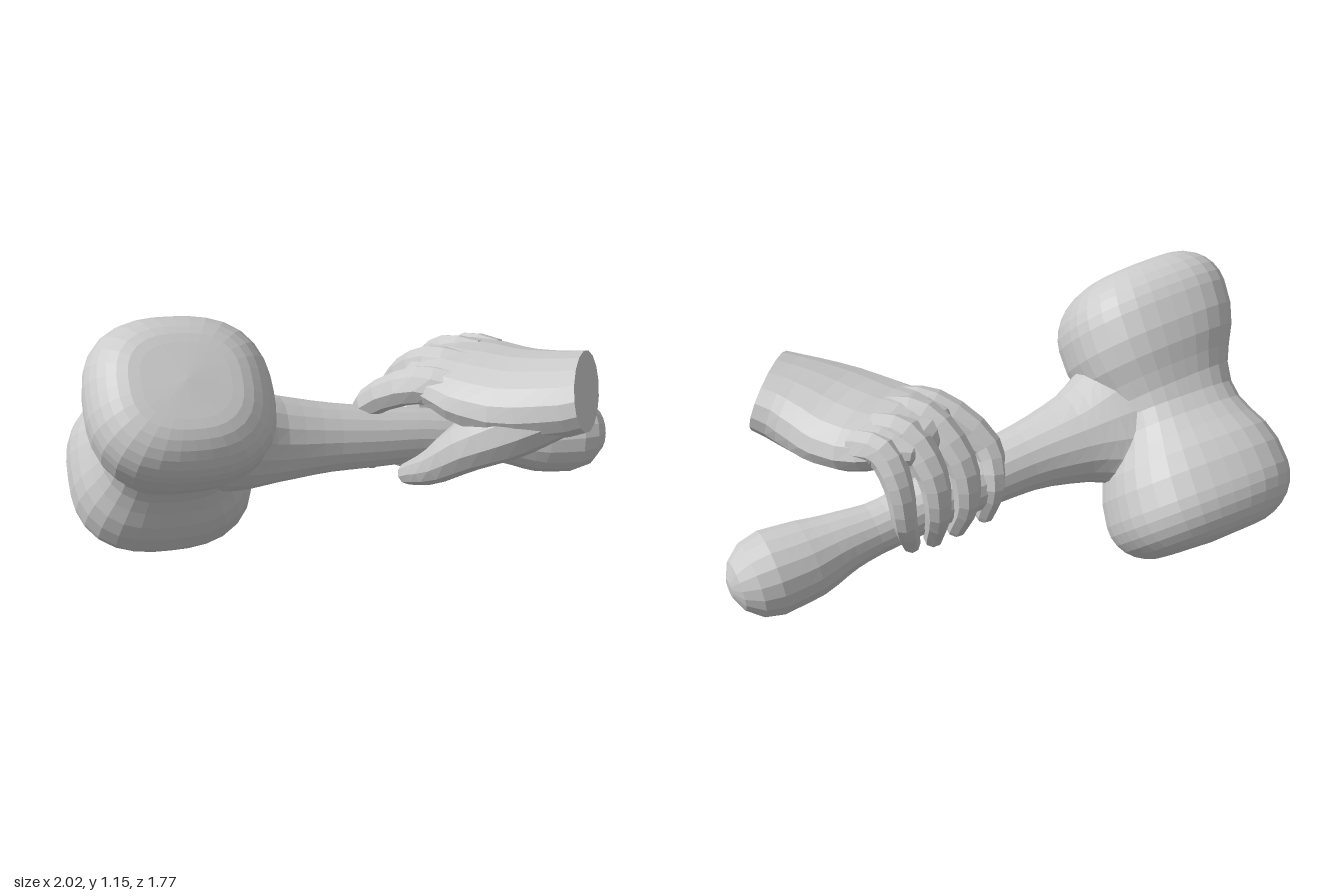
import * as THREE from 'three';

const material = new THREE.MeshStandardMaterial({ color: 0xcccccc, flatShading: true });
const V = (x, y, z) => new THREE.Vector3(x, y, z);
const headAxis = V(0.41, 0.763, 0.503).normalize();

// Lofts elliptical rings along a smooth path. Each station: [x, y, z, radiusSide, radiusUp].
// ref steers the ring orientation; round adds a domed far end.
function loft(name, stations, { sides = 10, steps = 10, ref = V(0, 1, 0), round = true } = {}) {
  const path = new THREE.CatmullRomCurve3(stations.map((s) => V(s[0], s[1], s[2])));
  const size = new THREE.CatmullRomCurve3(stations.map((s) => V(s[3], s[4] ?? s[3], 0)));
  const rings = [];
  for (let i = 0; i <= steps; i++) {
    const r = size.getPoint(i / steps);
    rings.push({ c: path.getPoint(i / steps), t: path.getTangent(i / steps), a: r.x, b: r.y });
  }
  if (round) {
    const e = rings[steps];
    for (const k of [0.3, 0.6, 0.85]) {
      const f = Math.cos(k * Math.PI / 2);
      const c = e.c.clone().addScaledVector(e.t, Math.min(e.a, e.b) * Math.sin(k * Math.PI / 2));
      rings.push({ c, t: e.t, a: e.a * f, b: e.b * f });
    }
  }
  const pos = [], index = [];
  for (const { c, t, a, b } of rings) {
    const side = V().crossVectors(ref, t).normalize();
    const up = V().crossVectors(t, side);
    for (let j = 0; j < sides; j++) {
      const q = (j / sides) * Math.PI * 2;
      const p = c.clone().addScaledVector(side, Math.cos(q) * a).addScaledVector(up, Math.sin(q) * b);
      pos.push(p.x, p.y, p.z);
    }
  }
  const last = rings.length - 1, start = rings.length * sides, end = start + 1;
  const tip = rings[last].c.clone();
  if (round) tip.addScaledVector(rings[last].t, rings[last].a * 0.1);
  pos.push(...rings[0].c.toArray(), ...tip.toArray());
  for (let j = 0; j < sides; j++) {
    const n = (j + 1) % sides;
    for (let i = 0; i < last; i++) {
      const o = i * sides, p = o + sides;
      index.push(o + j, o + n, p + j, o + n, p + n, p + j);
    }
    index.push(start, n, j, end, last * sides + j, last * sides + n);
  }
  const geo = new THREE.BufferGeometry();
  geo.setAttribute('position', new THREE.Float32BufferAttribute(pos, 3));
  geo.setIndex(index);
  geo.computeVertexNormals();
  const mesh = new THREE.Mesh(geo, material);
  mesh.name = name;
  return mesh;
}

// Two swollen, rounded-square ends joined by a narrow waist
function malletHead() {
  const R = 0.36, q = 0.19, L = 0.565, half = [];
  for (const r of [0, 0.06, 0.12]) half.push([r, L + 0.01 - r * 0.06]);
  for (let i = 0; i <= 7; i++) {
    const a = (i / 7) * Math.PI / 2;
    half.push([R - q + q * Math.sin(a), L - q + q * Math.cos(a)]);
  }
  half.push([0.353, 0.28], [0.33, 0.2], [0.295, 0.13], [0.268, 0.065]);
  const pts = [
    ...half.map(([r, y]) => new THREE.Vector2(r, -y)),
    new THREE.Vector2(0.258, 0),
    ...half.slice().reverse().map(([r, y]) => new THREE.Vector2(r, y)),
  ];
  const geo = new THREE.LatheGeometry(pts, 32);

  // Square off the section, make the lower end larger, slant both end faces
  const p = geo.attributes.position, power = 2.6;
  for (let i = 0; i < p.count; i++) {
    const x = p.getX(i), y = p.getY(i), z = p.getZ(i), r = Math.hypot(x, z);
    const f = r > 1e-6 ? r / (Math.abs(x) ** power + Math.abs(z) ** power) ** (1 / power) : 1;
    const sx = x * f * (1 - 0.08 * y);
    p.setXYZ(i, sx, y - (y > 0 ? 0.12 : 0.07) * sx, z * f * (0.9 - 0.08 * y));
  }
  geo.computeVertexNormals();

  // Local x runs along the handle, local y along the head
  const along = V(0.74, -0.13, -0.66);
  along.addScaledVector(headAxis, -along.dot(headAxis)).normalize();
  const across = V().crossVectors(along, headAxis);
  const head = new THREE.Mesh(geo, material);
  head.name = 'malletHead';
  head.quaternion.setFromRotationMatrix(new THREE.Matrix4().makeBasis(along, headAxis, across));
  head.position.set(-0.495, 0.575, 0.365).addScaledVector(across, -0.01);
  return head;
}

export function createModel() {
  const model = new THREE.Group();
  model.name = 'handHoldingMallet';

  // Mallet: head, and a handle flaring from the head to a ball end
  const mallet = new THREE.Group();
  mallet.name = 'mallet';
  mallet.add(malletHead(), loft('handle', [
    [-0.4, 0.565, 0.3, 0.19, 0.34], [-0.28, 0.54, 0.22, 0.19, 0.27], [-0.17, 0.52, 0.135, 0.17, 0.19],
    [0, 0.49, 0, 0.138], [0.15, 0.455, -0.13, 0.122], [0.3, 0.42, -0.27, 0.11],
    [0.47, 0.37, -0.42, 0.1], [0.59, 0.345, -0.52, 0.118], [0.7, 0.315, -0.615, 0.152],
    [0.81, 0.3, -0.71, 0.165],
  ], { sides: 18, steps: 26, ref: headAxis }));
  model.add(mallet);

  // Hand: palm cut flat at the wrist, thumb under the near side, fingers over the far side
  const hand = new THREE.Group();
  hand.name = 'hand';
  hand.add(loft('palm', [
    [0.967, 0.78, -0.21, 0.21, 0.14], [0.85, 0.745, -0.205, 0.235, 0.15],
    [0.7, 0.715, -0.22, 0.27, 0.148], [0.54, 0.712, -0.265, 0.278, 0.13],
    [0.42, 0.725, -0.285, 0.25, 0.105], [0.33, 0.72, -0.3, 0.205, 0.08],
  ], { sides: 16, steps: 10 }));
  hand.add(loft('thumb', [
    [0.9, 0.74, -0.11, 0.1], [0.72, 0.65, -0.065, 0.122], [0.56, 0.545, -0.045, 0.1],
    [0.42, 0.41, -0.065, 0.07], [0.3, 0.305, -0.15, 0.046],
  ]));

  // Each finger: knuckle, middle joint, far side of the handle, tip beneath it
  const fingers = {
    indexFinger: [[0.5, 0.73, -0.13, 0.08], [0.34, 0.73, -0.12, 0.076], [0.13, 0.6, -0.14, 0.06],
      [0.09, 0.46, -0.2, 0.05], [0.13, 0.32, -0.18, 0.04]],
    middleFinger: [[0.5, 0.755, -0.25, 0.078], [0.34, 0.757, -0.25, 0.075], [0.19, 0.63, -0.3, 0.061],
      [0.16, 0.46, -0.32, 0.05], [0.22, 0.3, -0.27, 0.04]],
    ringFinger: [[0.5, 0.755, -0.37, 0.076], [0.37, 0.752, -0.38, 0.073], [0.26, 0.635, -0.43, 0.06],
      [0.24, 0.47, -0.44, 0.049], [0.29, 0.295, -0.35, 0.039]],
    littleFinger: [[0.55, 0.735, -0.46, 0.068], [0.43, 0.735, -0.48, 0.066], [0.36, 0.63, -0.525, 0.055],
      [0.34, 0.47, -0.53, 0.046], [0.36, 0.295, -0.41, 0.036]],
  };
  for (const [name, stations] of Object.entries(fingers)) {
    hand.add(loft(name, stations, { sides: 8, steps: 12, ref: V(0.4, 0, -1) }));
  }
  model.add(hand);
  return model;
}
